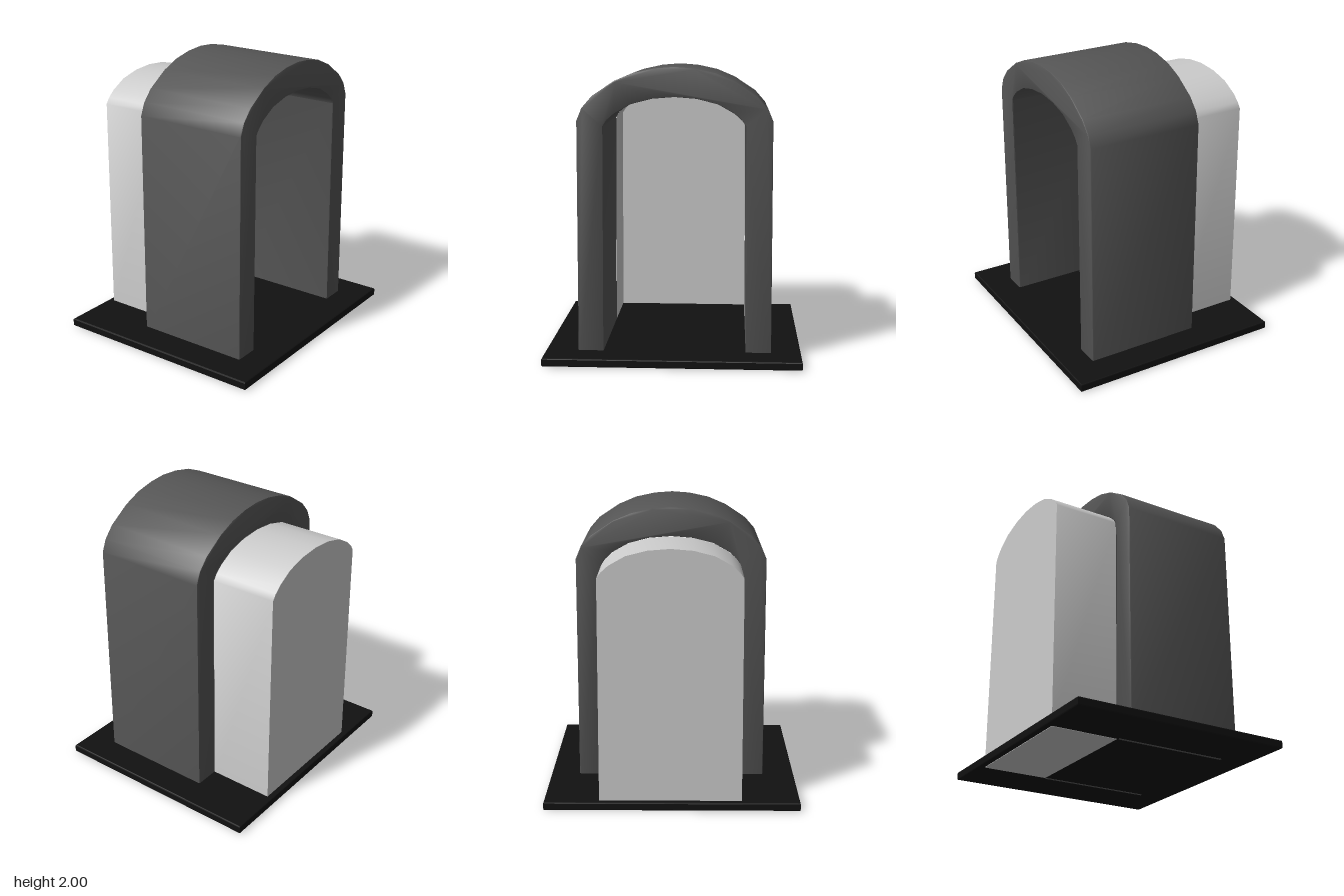
import * as THREE from 'three';
import { toCreasedNormals } from 'three/addons/utils/BufferGeometryUtils.js';

// Half profiles from the foot to the crown: [half width, height]
const OUTER = [[0.662, 0.02], [0.655, 1.64], [0.62, 1.725], [0.55, 1.805], [0.4, 1.905], [0.27, 1.96], [0.13, 1.99], [0, 2]];
const INNER = [[0.488, 0], [0.478, 1.605], [0.45, 1.645], [0.4, 1.69], [0.29, 1.752], [0.15, 1.788], [0, 1.8]];
const CENTRE_X = 0.01;
const FRONT = 0.565, MIDDLE = -0.26, BACK = -0.73;

// Mirror a half profile into a full arch running from +x over the crown to -x
function archPoints(half, footY) {
  const right = half.map(([x, y], i) => new THREE.Vector2(x, i === 0 ? footY : y));
  const left = right.slice(0, -1).reverse().map((p) => new THREE.Vector2(-p.x, p.y));
  return [...right, ...left];
}

// Surface swept along z from a closed outline
function sweptWall(points, z0, z1) {
  const pos = [];
  points.forEach((a, i) => {
    const b = points[(i + 1) % points.length];
    pos.push(a.x, a.y, z0, b.x, b.y, z0, b.x, b.y, z1);
    pos.push(a.x, a.y, z0, b.x, b.y, z1, a.x, a.y, z1);
  });
  const geo = new THREE.BufferGeometry();
  geo.setAttribute('position', new THREE.Float32BufferAttribute(pos, 3));
  geo.computeVertexNormals();
  return toCreasedNormals(geo, 0.65);
}

export function createModel() {
  const model = new THREE.Group();
  const baseMat = new THREE.MeshStandardMaterial({ color: 0x111111 });
  const archMat = new THREE.MeshStandardMaterial({ color: 0x555555 });
  const shellMat = new THREE.MeshStandardMaterial({ color: 0xcccccc, side: THREE.DoubleSide });

  const add = (name, geometry, material, parent = model) => {
    const mesh = new THREE.Mesh(geometry, material);
    mesh.name = name;
    parent.add(mesh);
    return mesh;
  };

  // Base slab with softened edges
  const bevel = 0.008;
  const w = 0.875 - bevel, d = 0.77 - bevel;
  const slab = new THREE.Shape([[-w, -d], [w, -d], [w, d], [-w, d]].map(([x, y]) => new THREE.Vector2(x, y)));
  const slabGeo = new THREE.ExtrudeGeometry(slab, {
    depth: 0.057 - 2 * bevel, bevelSize: bevel, bevelThickness: bevel, bevelSegments: 2,
  });
  slabGeo.rotateX(-Math.PI / 2).translate(0, 0.003 + bevel, 0);
  add('base', slabGeo, baseMat);

  // Thick front arch
  const arch = new THREE.Group();
  arch.name = 'frontArch';
  arch.position.x = CENTRE_X;
  model.add(arch);
  const outline = new THREE.Shape([...archPoints(OUTER, 0.02), ...archPoints(INNER, 0.02).reverse()]);
  const archGeo = new THREE.ExtrudeGeometry(outline, {
    depth: FRONT - MIDDLE - 2 * bevel, bevelSize: bevel, bevelThickness: bevel, bevelOffset: -bevel, bevelSegments: 2,
  });
  archGeo.translate(0, 0, MIDDLE + bevel);
  add('archBody', toCreasedNormals(archGeo, 0.65), archMat, arch);

  // Thin strips under the inner edges of the legs, reaching through the base
  for (const side of [-1, 1]) {
    const strip = add('legStrip', new THREE.BoxGeometry(0.016, 0.04, FRONT - MIDDLE - 0.02), archMat, arch);
    strip.position.set(side * 0.497, 0.02, (FRONT + MIDDLE) / 2);
  }

  // Hollow rear shell, open toward the arch
  const shell = new THREE.Group();
  shell.name = 'rearShell';
  shell.position.x = CENTRE_X;
  model.add(shell);
  const shellLine = archPoints(INNER, 0);
  add('shellWall', sweptWall(shellLine, MIDDLE, BACK), shellMat, shell);
  const backPanel = add('backPanel', new THREE.ShapeGeometry(new THREE.Shape(shellLine)), shellMat, shell);
  backPanel.position.z = BACK;

  return model;
}
